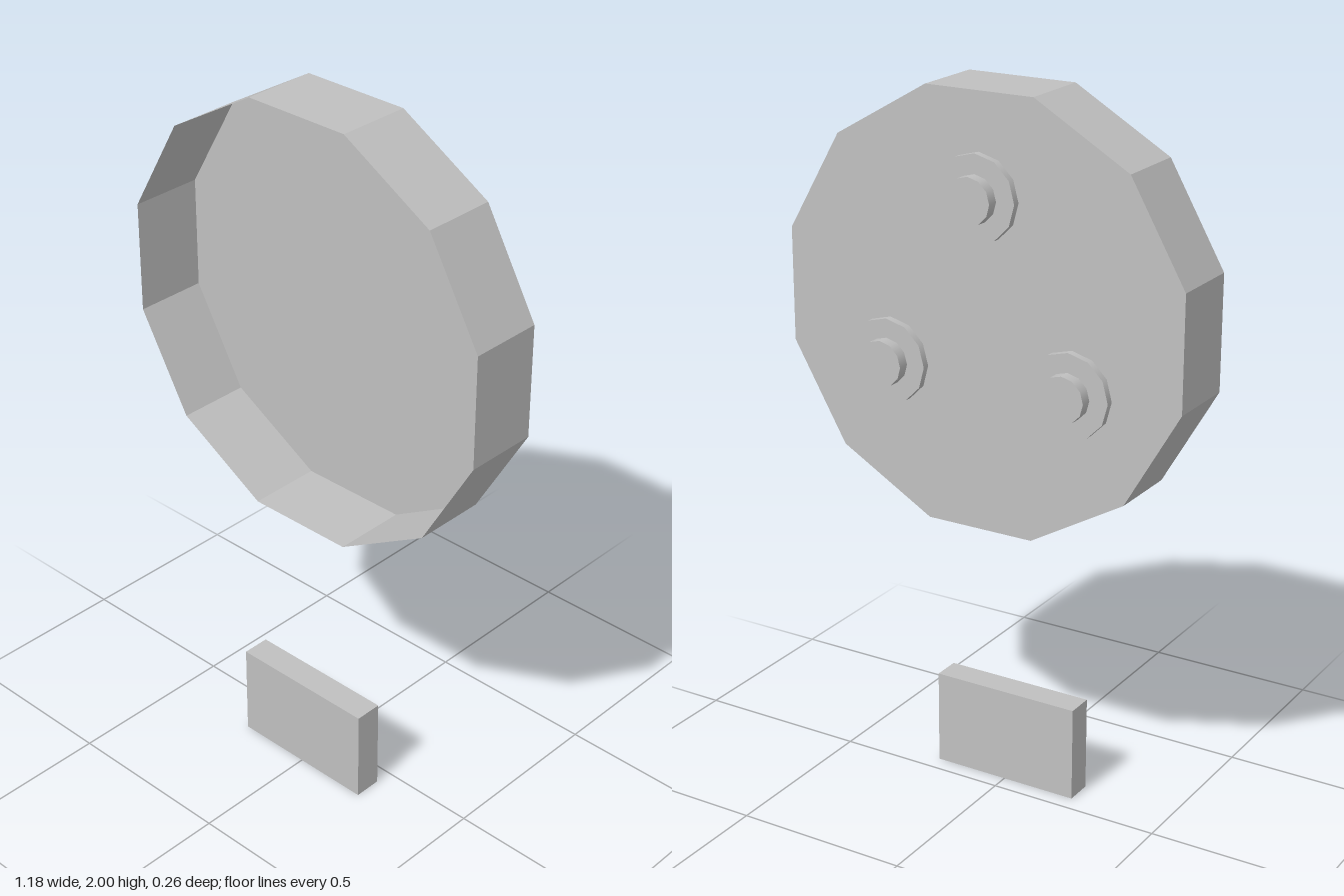
import * as THREE from 'three';

export function createModel() {
  const model = new THREE.Group();
  const grey = new THREE.MeshStandardMaterial({ color: 0xc0c0c0, side: THREE.DoubleSide });
  grey.name = 'grey';

  const add = (name, geometry, x, y, z, parent = model) => {
    const mesh = new THREE.Mesh(geometry, grey);
    mesh.name = name;
    mesh.position.set(x, y, z);
    parent.add(mesh);
    return mesh;
  };

  const sides = 12, centreY = 1.41, backZ = -0.08, frontZ = 0.13;
  const radius = 0.59 / Math.cos(Math.PI / sides);
  const turn = Math.PI / sides;

  // Thin twelve-sided pan, open at the front, with faceted walls
  const wall = new THREE.CylinderGeometry(radius, radius, frontZ - backZ, sides, 1, true, turn)
    .rotateX(Math.PI / 2).toNonIndexed();
  wall.computeVertexNormals();
  add('panWall', wall, 0, centreY, (frontZ + backZ) / 2);

  const back = new THREE.CircleGeometry(radius, sides, turn).rotateY(Math.PI);
  add('panBack', back, 0, centreY, backZ);

  // Three stepped round knobs on the back, evenly spaced about the centre
  const disc = (r, depth) => new THREE.CylinderGeometry(r, r, depth, sides).rotateX(-Math.PI / 2);
  for (let i = 0; i < 3; i++) {
    const a = Math.PI / 2 + i * Math.PI * 2 / 3;
    const knob = new THREE.Group();
    knob.name = 'knob' + (i + 1);
    knob.position.set(0.318 * Math.cos(a), centreY + 0.318 * Math.sin(a), backZ);
    add('knobFlange', disc(0.117, 0.021), 0, 0, -0.0105, knob);
    add('knobButton', disc(0.064, 0.034), 0, 0, -0.037, knob);
    model.add(knob);
  }

  // Separate plate below the pan
  add('lowerPlate', new THREE.BoxGeometry(0.44, 0.275, 0.08), 0, 0.1375, 0.09);

  return model;
}
